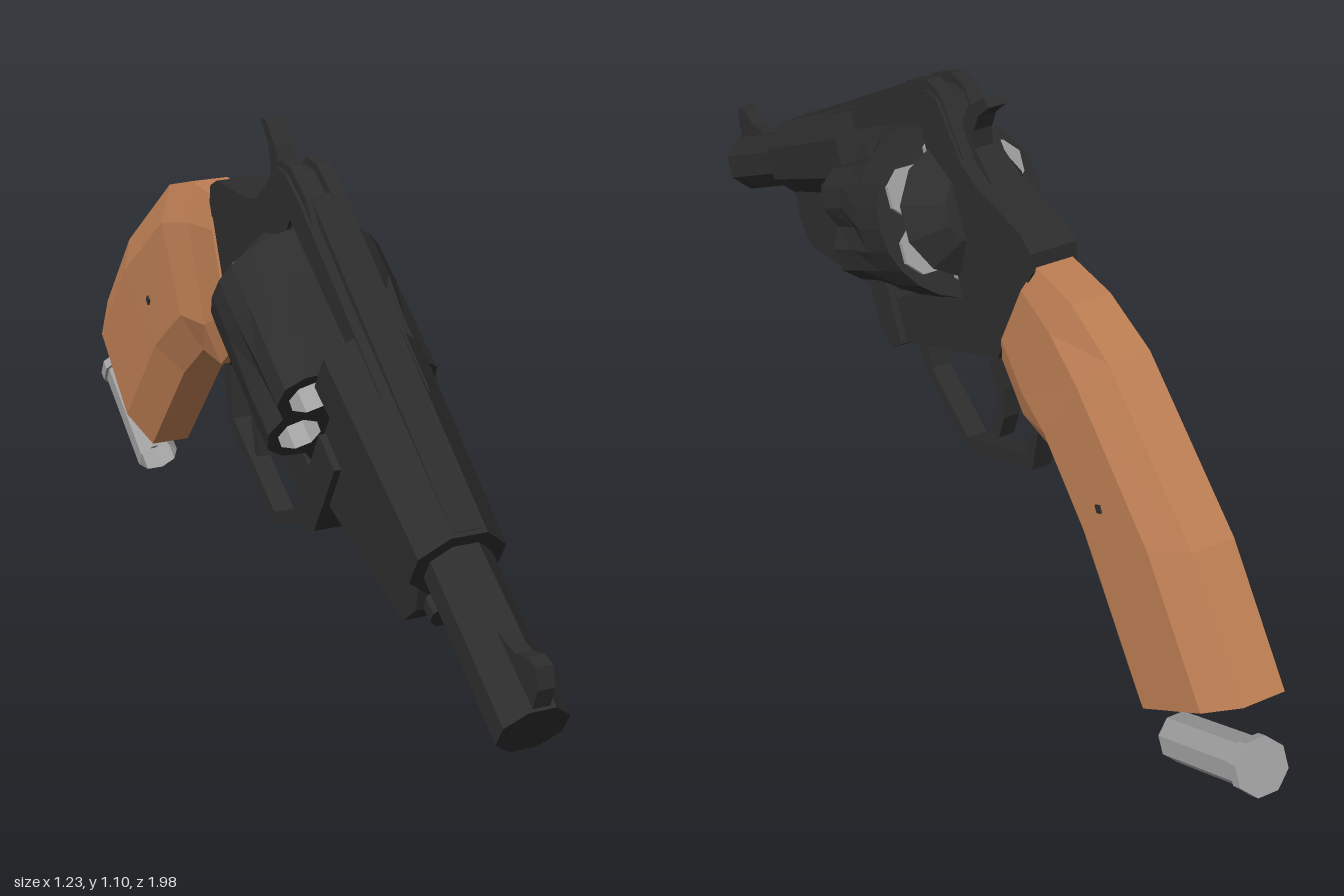
import * as THREE from 'three';

const flat = (name, color, side = THREE.FrontSide) => {
  const m = new THREE.MeshStandardMaterial({ color, flatShading: true, side });
  m.name = name;
  return m;
};

export function createModel() {
  const steel = flat('dark steel', 0x2d2d2e);
  const wood = flat('brown wood', 0xbe7f54);
  const brass = flat('grey casing', 0xa0a0a0, THREE.DoubleSide);

  // Local frame: z runs along the barrel, y up, x sideways.
  const gun = new THREE.Group();
  gun.name = 'revolver';
  const add = (name, geo, mat = steel, x = 0, y = 0, z = 0) => {
    const m = new THREE.Mesh(geo, mat);
    m.name = name;
    m.position.set(x, y, z);
    gun.add(m);
    return m;
  };

  // Side profile of [z, y] points, given a thickness across x.
  const slab = (pts, width, hole) => {
    const shape = new THREE.Shape(pts.map(p => new THREE.Vector2(...p)));
    if (hole) shape.holes.push(new THREE.Path(hole.map(p => new THREE.Vector2(...p))));
    const g = new THREE.ExtrudeGeometry(shape, { depth: width, bevelEnabled: false });
    g.translate(0, 0, -width / 2);
    return g.rotateY(-Math.PI / 2);
  };

  // Prism along z from z0 to z1, with flats facing up and sideways.
  const rod = (rBack, rFront, z0, z1, sides = 8, open = false) => {
    const g = new THREE.CylinderGeometry(rFront, rBack, z1 - z0, sides, 1, open);
    g.rotateY(Math.PI / sides).rotateX(Math.PI / 2);
    return g.translate(0, 0, (z0 + z1) / 2);
  };

  // Frame with a window for the drum
  add('frame', slab([
    [-0.37, 0.945], [-0.45, 0.94], [-0.49, 0.92], [-0.53, 0.79], [-0.575, 0.74], [-0.72, 0.643],
    [-0.745, 0.603], [-0.73, 0.565], [-0.48, 0.387], [-0.05, 0.405], [0.06, 0.44], [0.06, 0.522],
    [0.37, 0.611], [0.41, 0.63], [0.43, 0.69], [0.4, 0.8], [0.1, 0.92],
  ], 0.1, [[-0.385, 0.505], [-0.035, 0.505], [-0.035, 0.88], [-0.385, 0.88]]));
  add('topRib', slab([[0.42, 0.88], [0.42, 0.917], [-0.37, 0.962], [-0.37, 0.9]], 0.06));
  for (const s of [-1, 1]) {
    add('rearSight', slab([[-0.28, 0.93], [-0.36, 0.965], [-0.45, 0.96], [-0.495, 0.934],
      [-0.535, 0.794], [-0.42, 0.8]], 0.03), steel, s * 0.028);
  }
  add('crane', slab([[-0.03, 0.64], [0.06, 0.64], [0.06, 0.44], [0.025, 0.395], [-0.03, 0.405]], 0.13));
  add('recoilShield', rod(0.08, 0.145, -0.47, -0.395, 12), steel, 0, 0.69);

  // Barrel
  add('barrelSleeve', rod(0.11, 0.095, -0.04, 0.43), steel, 0, 0.828);
  add('barrel', rod(0.066, 0.07, 0.42, 0.785), steel, 0, 0.827);
  add('ejectorRod', rod(0.035, 0.035, 0, 0.46), steel, 0, 0.705);
  add('frontSight', slab([[0.783, 0.87], [0.77, 0.935], [0.742, 0.965], [0.71, 0.95],
    [0.68, 0.917], [0.57, 0.87]], 0.034));

  // Fluted drum
  const drum = new THREE.Group();
  drum.name = 'drum';
  drum.position.set(0, 0.69, -0.208);
  gun.add(drum);
  const R = 0.185, half = 0.163;
  const fluteDepth = deg => {
    const d = Math.abs(((deg % 60) + 90) % 60 - 30);
    return d < 1 ? 0.04 : d < 16 ? 0.012 : 0;
  };
  const wall = new THREE.CylinderGeometry(R, R, half * 2, 24, 3, true).rotateX(Math.PI / 2);
  const p = wall.attributes.position;
  for (let i = 0; i < p.count; i++) {
    const ang = Math.atan2(p.getY(i), p.getX(i));
    const z = p.getZ(i);
    const deg = Math.round(ang * 180 / Math.PI) + 360;
    const r = R - fluteDepth(deg) * (z > 0.1 ? 1 : z > 0 ? 0.8 : 0);
    p.setXY(i, Math.cos(ang) * r, Math.sin(ang) * r);
  }
  const ring = (n, radius, cx = 0, cy = 0) => Array.from({ length: n }, (_, i) => {
    const t = i / n * Math.PI * 2;
    const r = radius(i * 360 / n);
    return new THREE.Vector2(cx + Math.cos(t) * r, cy + Math.sin(t) * r);
  });
  const face = new THREE.Shape(ring(24, d => R - fluteDepth(d)));
  const put = (name, geo, mat) => {
    const m = new THREE.Mesh(geo, mat);
    m.name = name;
    drum.add(m);
  };
  for (let i = 0; i < 6; i++) {
    const t = Math.PI / 6 + i * Math.PI / 3;
    const x = Math.cos(t) * 0.115, y = Math.sin(t) * 0.115;
    face.holes.push(new THREE.Path(ring(8, () => 0.045, x, y)));
    const tube = new THREE.CylinderGeometry(0.045, 0.045, 0.12, 8, 1, true)
      .rotateY(Math.PI / 2).rotateX(Math.PI / 2);
    put('chamberCasing', tube.translate(x, y, half - 0.058), brass);
    put('chamberFloor', new THREE.CircleGeometry(0.046, 8).translate(x, y, half - 0.115), brass);
    put('casingRim', rod(0.056, 0.056, -half - 0.014, -half + 0.01).translate(x, y, 0), brass);
  }
  put('drumWall', wall, steel);
  put('drumFront', new THREE.ShapeGeometry(face).translate(0, 0, half), steel);
  put('drumBack', new THREE.CircleGeometry(R, 24).rotateY(Math.PI).translate(0, 0, -half), steel);

  // Hammer, trigger and guard
  add('hammer', slab([[-0.5, 0.76], [-0.505, 0.84], [-0.535, 0.875], [-0.57, 0.895], [-0.64, 0.905],
    [-0.655, 0.885], [-0.6, 0.872], [-0.565, 0.845], [-0.55, 0.81], [-0.6, 0.71]], 0.04));
  add('trigger', slab([[-0.37, 0.41], [-0.36, 0.32], [-0.335, 0.26], [-0.295, 0.215], [-0.315, 0.2],
    [-0.365, 0.245], [-0.4, 0.31], [-0.43, 0.41]], 0.035));
  add('triggerGuard', slab([
    [-0.02, 0.42], [-0.03, 0.33], [-0.153, 0.159], [-0.45, 0.142], [-0.548, 0.256], [-0.54, 0.37],
    [-0.505, 0.39], [-0.515, 0.265], [-0.437, 0.174], [-0.165, 0.19], [-0.062, 0.34], [-0.07, 0.42],
  ], 0.045));

  // Grip: stations of [back z, y, front z, y, half width, edge half width]
  const stations = [
    [-0.735, 0.575, -0.475, 0.39, 0.056, 0.04],
    [-0.85, 0.505, -0.517, 0.271, 0.066, 0.042],
    [-0.946, 0.395, -0.605, 0.217, 0.082, 0.045],
    [-1.095, 0.05, -0.667, 0.06, 0.085, 0.045],
    [-1.147, -0.235, -0.735, -0.293, 0.085, 0.045],
  ];
  const pos = [], idx = [];
  for (const [az, ay, bz, by, w, e] of stations) {
    const half8 = [[0, e], [0.22, w], [0.78, w], [1, e]];
    const loop = [...half8, ...half8.map(([f, x]) => [f, -x]).reverse()];
    for (const [f, x] of loop) pos.push(x, ay + (by - ay) * f, az + (bz - az) * f);
  }
  const last = (stations.length - 1) * 8;
  for (let k = 0; k < last; k += 8) {
    for (let i = 0; i < 8; i++) {
      const j = (i + 1) % 8;
      idx.push(k + i, k + j, k + 8 + i, k + j, k + 8 + j, k + 8 + i);
    }
  }
  for (let i = 1; i < 7; i++) idx.push(0, i + 1, i, last, last + i, last + i + 1);
  const gripGeo = new THREE.BufferGeometry();
  gripGeo.setAttribute('position', new THREE.Float32BufferAttribute(pos, 3));
  gripGeo.setIndex(idx);
  gripGeo.computeVertexNormals();
  add('grip', gripGeo, wood);
  add('gripScrew', new THREE.BoxGeometry(0.176, 0.016, 0.016), steel, 0, 0.12, -0.845);

  // Loose empty casing below the grip
  add('casingBody', rod(0.05, 0.05, -1.05, -0.76, 8, true), brass, -0.01, -0.385);
  add('casingFloor', new THREE.CircleGeometry(0.05, 8).rotateZ(Math.PI / 8), brass, -0.01, -0.385, -0.82);
  add('casingBase', rod(0.058, 0.058, -1.06, -1.035), brass, -0.01, -0.385);

  // Point the barrel forward, down and to the side
  gun.rotation.set(Math.PI / 6, Math.PI / 6, 0, 'YXZ');
  const model = new THREE.Group();
  model.name = 'model';
  model.add(gun);
  return model;
}
